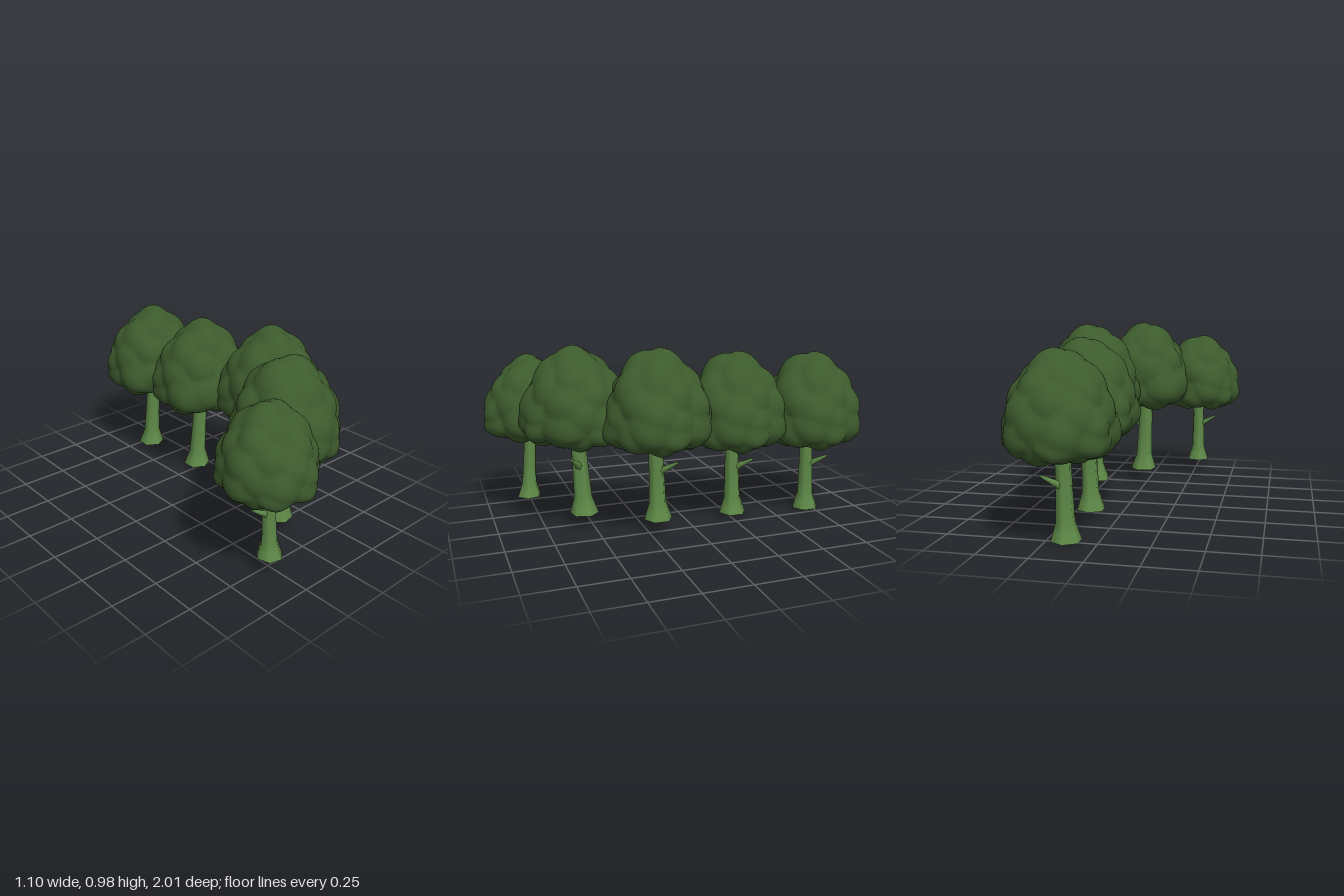
import * as THREE from 'three';
import { mergeVertices } from 'three/addons/utils/BufferGeometryUtils.js';

const leafMat = new THREE.MeshStandardMaterial({ color: 0x3d5b2d });
leafMat.name = 'leafGreen';
// the trunks are open tubes, so the bark shows inside and out
const barkMat = new THREE.MeshStandardMaterial({ color: 0x5f8a48, side: THREE.DoubleSide });
barkMat.name = 'mossyBark';

function seeded(seed) {
  return () => (seed = (seed * 16807) % 2147483647) / 2147483647;
}

// Leafy crown: tapering dome above, flattened below, covered in knobbly drooping clumps
function crownGeometry() {
  const rand = seeded(4711);
  const clumps = [];
  const count = 48;
  for (let i = 0; i < count; i++) {
    const y = 1 - (2 * (i + 0.5)) / count;
    const a = i * 2.39996 + rand() * 0.6;
    const r = Math.sqrt(1 - y * y);
    clumps.push({
      dir: new THREE.Vector3(r * Math.cos(a), y, r * Math.sin(a)),
      height: 0.7 + 0.6 * rand(),
      width: 0.42 + 0.16 * rand(),
    });
  }
  let geo = new THREE.IcosahedronGeometry(1, 17);
  geo.deleteAttribute('uv');
  geo.deleteAttribute('normal');
  geo = mergeVertices(geo, 1e-4);
  const pos = geo.attributes.position;
  const d = new THREE.Vector3();
  for (let i = 0; i < pos.count; i++) {
    d.fromBufferAttribute(pos, i).normalize();
    let bump = 0;
    for (const c of clumps) {
      const k = d.angleTo(c.dir) / c.width;
      bump = Math.max(bump, c.height * (1 - Math.pow(k, 1.5)));
    }
    // rougher towards the top, smoother underneath
    const rough = 0.14 + 0.06 * d.y;
    const p = d.y > 0 ? 1.7 : 3.6;
    const tall = d.y > 0 ? 0.375 : 0.136;
    const flat = Math.hypot(d.x, d.z) / 0.278;
    const reach = Math.pow(Math.pow(flat, p) + Math.pow(Math.abs(d.y) / tall, p), -1 / p);
    d.multiplyScalar(reach * (1 + rough * (bump - 0.83)));
    pos.setXYZ(i, d.x, d.y - 0.025 * bump, d.z);
  }
  geo.computeVertexNormals();
  return geo;
}

// Flared six-sided trunk leaning gently towards the crown centre
function trunkGeometry() {
  const profile = [[0.077, 0], [0.064, 0.04], [0.048, 0.09], [0.044, 0.2], [0.04, 0.34], [0.045, 0.46]];
  const geo = new THREE.LatheGeometry(profile.map(([x, y]) => new THREE.Vector2(x, y)), 6, Math.PI / 12);
  const pos = geo.attributes.position;
  for (let i = 0; i < pos.count; i++) {
    pos.setZ(i, pos.getZ(i) + 0.06 * pos.getY(i));
  }
  return geo;
}

// Short tapered side branch, built between two points
function branchGeometry() {
  const from = new THREE.Vector3(0.01, 0.258, 0.015);
  const to = new THREE.Vector3(0.122, 0.323, 0.015);
  const dir = to.clone().sub(from);
  const geo = new THREE.CylinderGeometry(0.007, 0.024, dir.length(), 6);
  geo.applyQuaternion(new THREE.Quaternion().setFromUnitVectors(new THREE.Vector3(0, 1, 0), dir.normalize()));
  const mid = from.add(to).multiplyScalar(0.5);
  return geo.translate(mid.x, mid.y, mid.z);
}

function addMesh(parent, name, geo, mat) {
  const mesh = new THREE.Mesh(geo, mat);
  mesh.name = name;
  parent.add(mesh);
  return mesh;
}

export function createModel() {
  const model = new THREE.Group();
  model.name = 'treeRow';
  const crown = crownGeometry();
  const trunk = trunkGeometry();
  const branch = branchGeometry();

  // x, base height, z, turn in degrees, scale
  const trees = [
    [-0.285, 0.1, 0.79, 180, 0.88],
    [0.03, 0.075, 0.545, -32, 1],
    [0.247, 0.075, 0.2, 45, 1],
    [0.157, 0.025, -0.265, 45, 1],
    [0.157, 0, -0.725, 45, 1],
  ];
  trees.forEach(([x, y, z, turn, scale], i) => {
    const tree = new THREE.Group();
    tree.name = `tree${i + 1}`;
    addMesh(tree, 'trunk', trunk, barkMat);
    addMesh(tree, 'branch', branch, barkMat);
    addMesh(tree, 'crown', crown, leafMat).position.set(0.012, 0.55, 0.03);
    tree.position.set(x, y, z);
    tree.rotation.y = THREE.MathUtils.degToRad(turn);
    tree.scale.setScalar(scale);
    model.add(tree);
  });
  return model;
}
